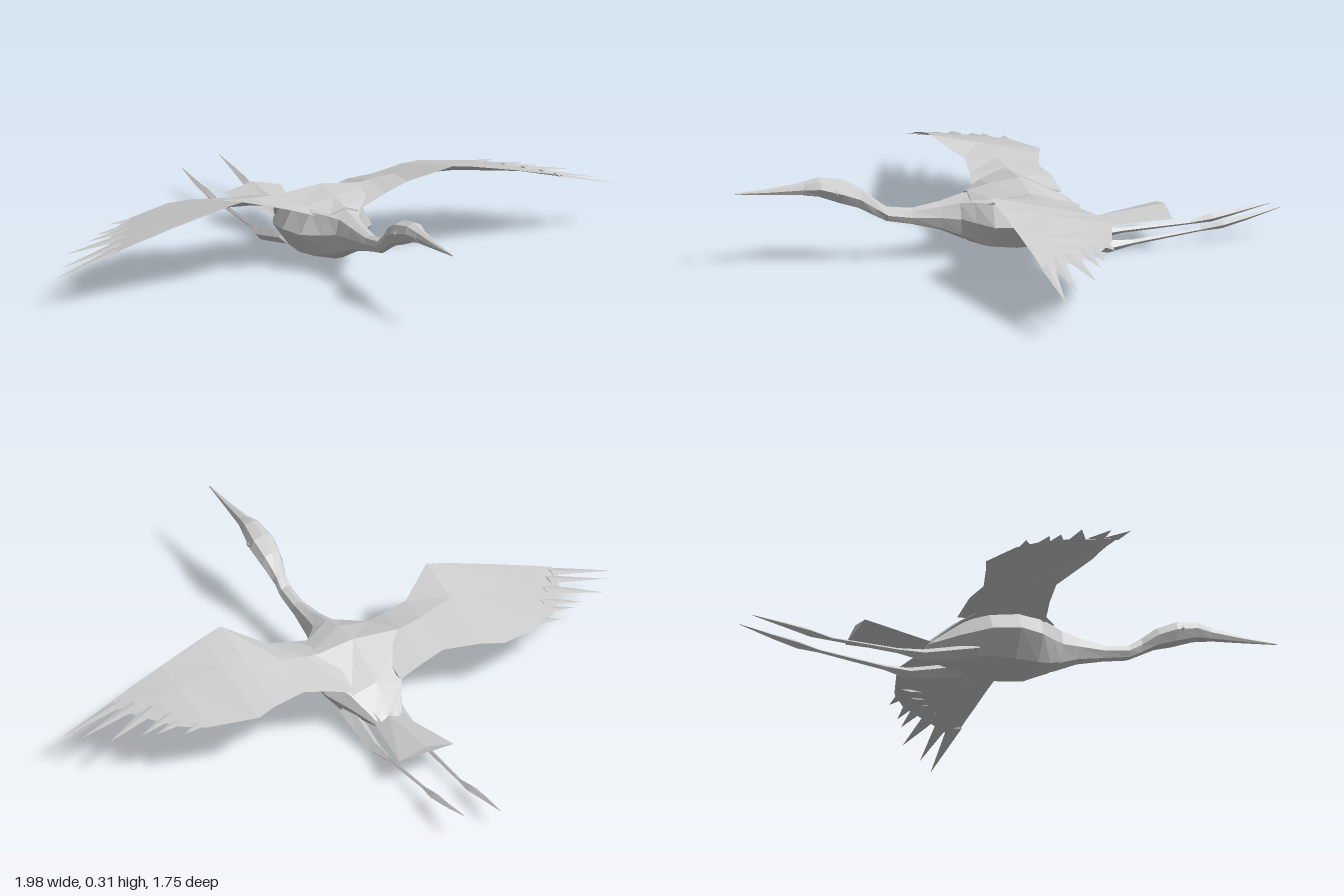
import * as THREE from 'three';

const plumage = new THREE.MeshStandardMaterial({ color: 0xcccccc, flatShading: true, side: THREE.DoubleSide });
plumage.name = 'pale grey plumage';

// Skins a list of equal-length point rings and caps both ends.
function loft(name, rings) {
  const n = rings[0].length, pos = rings.flat(2), index = [];
  for (let i = 0; i < rings.length - 1; i++) {
    for (let k = 0; k < n; k++) {
      const a = i * n + k, b = i * n + (k + 1) % n;
      index.push(a, a + n, b, b, a + n, b + n);
    }
  }
  const last = (rings.length - 1) * n;
  for (let k = 1; k < n - 1; k++) {
    index.push(0, k, k + 1, last, last + k + 1, last + k);
  }
  const g = new THREE.BufferGeometry();
  g.setAttribute('position', new THREE.Float32BufferAttribute(pos, 3));
  g.setIndex(index);
  g.computeVertexNormals();
  const mesh = new THREE.Mesh(g, plumage);
  mesh.name = name;
  return mesh;
}

// Body cross-section: x as a share of half width, y as a share of height.
const SECTION = [[1, 0.5], [0.72, 0.87], [0, 1], [-0.72, 0.87], [-1, 0.5], [-0.6, 0.1], [0, 0], [0.6, 0.1]];
// Rows are [z, top, bottom, halfWidth].
const trunk = (name, rows) => loft(name, rows.map(([z, t, b, w]) =>
  SECTION.map(([x, y]) => [x * w, b + y * (t - b), z])));

// Mirrors rings to the chosen side, tilting the wings slightly.
const toSide = (rings, s, roll = 0) => rings.map((ring) => {
  const r = ring.map(([x, y, z]) => [x * s, y + s * roll * x, z]);
  return s < 0 ? r.reverse() : r;
});

function makeWing(s) {
  const wing = new THREE.Group();
  wing.name = s > 0 ? 'leftWing' : 'rightWing';
  // [x, leading z, y, middle z, y, trailing z, y, thickness]
  const stations = [
    [0.08, 0.08, 0.19, -0.04, 0.225, -0.21, 0.165, 0.05],
    [0.17, 0.065, 0.22, -0.05, 0.235, -0.2, 0.195, 0.03],
    [0.25, 0.06, 0.245, -0.04, 0.243, -0.18, 0.205, 0.025],
    [0.37, 0.142, 0.298, -0.01, 0.262, -0.212, 0.21, 0.025],
    [0.44, 0.133, 0.283, 0, 0.255, -0.235, 0.203, 0.02],
    [0.6, 0.111, 0.24, 0.01, 0.226, -0.19, 0.19, 0.015],
    [0.67, 0.102, 0.219, 0.02, 0.21, -0.14, 0.185, 0.01],
    [0.73, 0.094, 0.202, 0.04, 0.195, -0.06, 0.182, 0.008],
    [0.79, 0.086, 0.183, 0.065, 0.18, 0.04, 0.172, 0.004],
  ];
  const rings = stations.map(([x, zl, yl, zm, ym, zt, yt, h]) =>
    [[x, yl, zl], [x, ym, zm], [x, yt, zt], [x, ym - h, zm]]);
  wing.add(loft('wingPanel', toSide(rings, s, 0.02)));

  // Primary feathers: [tip x, y, z, root x, y, z, root half width]
  const feathers = [
    [0.99, 0.12, 0.06, 0.77, 0.185, 0.066, 0.024],
    [0.945, 0.134, 0.01, 0.74, 0.19, 0.025, 0.025],
    [0.885, 0.15, -0.068, 0.7, 0.194, -0.02, 0.03],
    [0.79, 0.167, -0.105, 0.66, 0.195, -0.075, 0.028],
    [0.75, 0.175, -0.13, 0.62, 0.195, -0.11, 0.03],
    [0.675, 0.185, -0.182, 0.57, 0.195, -0.145, 0.035],
  ];
  for (const [tx, ty, tz, x, y, z, w] of feathers) {
    const root = [[x, y, z + w], [x, y + 0.004, z], [x, y, z - w], [x, y - 0.004, z]];
    const tip = root.map(() => [tx, ty, tz]);
    wing.add(loft('flightFeather', toSide([root, tip], s, 0.02)));
  }
  return wing;
}

// Thigh, thin shank and folded foot trailing behind; lift raises the foot.
function makeLeg(s, lift) {
  const rows = [ // [z, x, y, half width, half height]
    [-0.14, 0.07, 0.06, 0.03, 0.025],
    [-0.25, 0.072, 0.035, 0.024, 0.022],
    [-0.32, 0.072, 0.02, 0.02, 0.02],
    [-0.4, 0.066, 0.026, 0.008, 0.009],
    [-0.62, 0.064, 0.035 + lift * 0.6, 0.006, 0.006],
    [-0.69, 0.066, 0.045 + lift * 0.7, 0.015, 0.014],
    [-0.77, 0.068, 0.058 + lift * 0.85, 0.01, 0.009],
    [-0.88, 0.065, 0.078 + lift, 0.001, 0.001],
  ];
  const rings = rows.map(([z, x, y, w, h]) => [[x + w, y, z], [x, y + h, z], [x - w, y, z], [x, y - h, z]]);
  return loft(s > 0 ? 'leftLeg' : 'rightLeg', toSide(rings, s));
}

export function createModel() {
  const bird = new THREE.Group();
  bird.name = 'flyingWadingBird';

  bird.add(trunk('beak', [
    [0.87, 0.267, 0.263, 0.002],
    [0.76, 0.274, 0.253, 0.01],
    [0.65, 0.287, 0.244, 0.02],
  ]));
  bird.add(trunk('head', [
    [0.65, 0.288, 0.243, 0.021],
    [0.6, 0.298, 0.235, 0.034],
    [0.53, 0.288, 0.208, 0.045],
    [0.47, 0.258, 0.188, 0.036],
    [0.42, 0.215, 0.16, 0.022],
  ]));
  bird.add(trunk('neck', [
    [0.42, 0.215, 0.16, 0.022],
    [0.38, 0.185, 0.138, 0.024],
    [0.3, 0.175, 0.122, 0.024],
    [0.21, 0.19, 0.098, 0.035],
    [0.13, 0.213, 0.06, 0.052],
  ]));
  bird.add(trunk('body', [
    [0.15, 0.205, 0.075, 0.048],
    [0.11, 0.215, 0.05, 0.08],
    [0.06, 0.22, 0.032, 0.125],
    [-0.02, 0.23, 0.024, 0.148],
    [-0.11, 0.21, 0.026, 0.135],
    [-0.2, 0.165, 0.035, 0.09],
    [-0.29, 0.095, 0.055, 0.045],
  ]));

  // Broad feathered cape over the shoulders: [z, top, edge height, half width]
  const cape = [[0.12, 0.217, 0.2, 0.05], [0.05, 0.235, 0.215, 0.11], [-0.05, 0.248, 0.228, 0.18],
    [-0.2, 0.175, 0.15, 0.09], [-0.28, 0.105, 0.09, 0.045]];
  bird.add(loft('shoulderCape', cape.map(([z, t, e, w]) =>
    [[w, e, z], [0, t, z], [-w, e, z], [0, e - 0.02, z]])));

  // Roof-shaped tail fan
  const tail = [[-0.2, 0.11, 0.085, 0.04], [-0.28, 0.1, 0.08, 0.05], [-0.52, 0.125, 0.102, 0.098]];
  bird.add(loft('tail', tail.map(([z, t, e, w]) =>
    [[w, e, z], [0, t, z], [-w, e, z], [0, t - 0.018, z]])));

  for (const s of [1, -1]) {
    bird.add(makeWing(s), makeLeg(s, s > 0 ? 0.026 : 0));
    const eye = new THREE.Mesh(new THREE.OctahedronGeometry(0.011), plumage);
    eye.name = 'eye';
    eye.scale.x = 0.5;
    eye.position.set(s * 0.041, 0.254, 0.55);
    bird.add(eye);
  }
  return bird;
}
